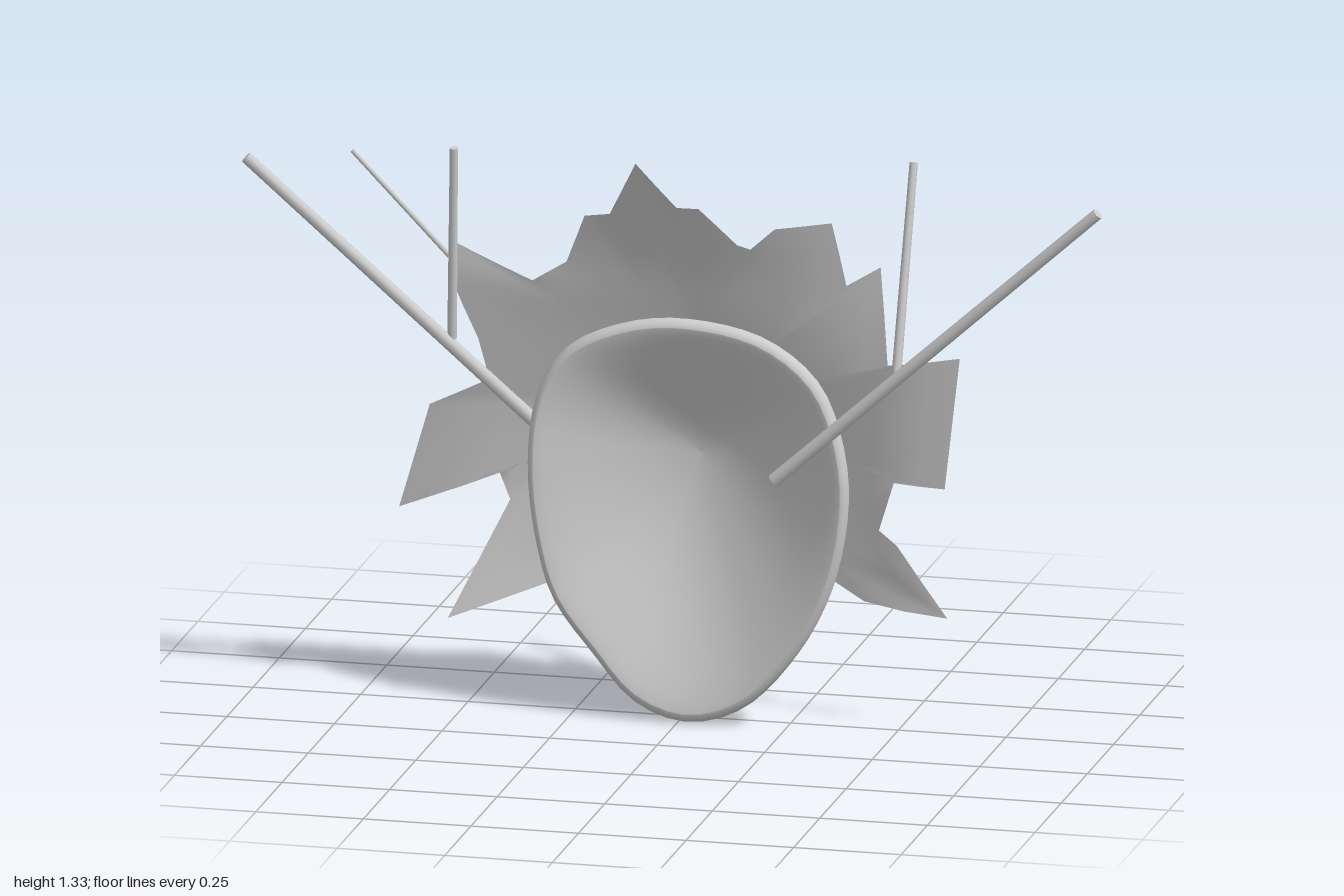
import * as THREE from 'three';

const makeMaterial = (flatShading = false) =>
  new THREE.MeshStandardMaterial({ color: 0xcccccc, side: THREE.DoubleSide, flatShading });

// piecewise linear lookup in [key, value] pairs
function lookup(pairs, k) {
  if (k <= pairs[0][0]) return pairs[0][1];
  for (let i = 1; i < pairs.length; i++) {
    const [k0, v0] = pairs[i - 1], [k1, v1] = pairs[i];
    if (k <= k1) return v0 + (v1 - v0) * (k - k0) / (k1 - k0);
  }
  return pairs[pairs.length - 1][1];
}

// surface through closed rings of equal length
function ringSurface(rings) {
  const n = rings[0].length, position = [], index = [];
  rings.forEach(r => r.forEach(p => position.push(...p)));
  for (let r = 0; r < rings.length - 1; r++) {
    for (let i = 0; i < n; i++) {
      const j = (i + 1) % n, a = r * n, b = a + n;
      index.push(a + i, b + j, b + i, a + i, a + j, b + j);
    }
  }
  const g = new THREE.BufferGeometry();
  g.setAttribute('position', new THREE.Float32BufferAttribute(position, 3));
  g.setIndex(index);
  g.computeVertexNormals();
  return g;
}

// hollow bowl: outer skin, rounded rim leaning back at the top, inner skin
function faceBowl() {
  const rim = [
    [0.02, 0.94], [0.2, 0.905], [0.325, 0.81], [0.385, 0.66], [0.395, 0.52], [0.36, 0.34],
    [0.28, 0.18], [0.15, 0.04], [0.02, 0], [-0.1, 0.04], [-0.2, 0.15], [-0.29, 0.27],
    [-0.33, 0.4], [-0.35, 0.58], [-0.33, 0.75], [-0.26, 0.86], [-0.12, 0.925],
  ];
  const curve = new THREE.CatmullRomCurve3(rim.map(([x, y]) => new THREE.Vector3(x, y, 0)), true);
  const loop = curve.getSpacedPoints(64).slice(0, 64);
  const steps = 16;
  const ring = (t, cy, z) => loop.map(p => {
    const lean = 0.06 * Math.max(0, p.y - 0.6) * t * t;
    return [0.02 + (p.x - 0.02) * t, cy + (p.y - cy) * t, z - lean];
  });
  const rings = [];
  for (let i = 0; i <= steps; i++) {
    const t = Math.sin(i / steps * Math.PI / 2);
    rings.push(ring(t, 0.53, 0.045 - 0.148 * Math.pow(1 - t * t, 0.95)));
  }
  rings.push(ring(0.994, 0.53, 0.057), ring(0.98, 0.53, 0.065));
  // the inner skin is deepest above the middle
  for (let i = steps; i >= 0; i--) {
    const t = Math.sin(i / steps * Math.PI / 2);
    rings.push(ring(t * 0.96, 0.53 + 0.07 * (1 - t), 0.068 - 0.152 * Math.pow(1 - Math.pow(t, 1.8), 1.3)));
  }
  return ringSurface(rings);
}

// depth of the ragged hood: a central ridge blended into two side wings
const ridge = [[0.44, -0.122], [0.6, -0.118], [0.7, -0.1], [0.87, -0.057], [1.05, -0.003], [1.2, 0.06], [1.32, 0.115]];
const rightWing = [[0.19, -0.01], [0.43, -0.06], [0.68, -0.045], [1, 0.02]];
const leftWing = [[0.27, -0.015], [0.58, 0.01], [0.89, 0.03], [1, 0.01], [1.2, -0.005]];
function hoodDepth(x, y) {
  const w = Math.min(1, Math.pow(Math.abs(x) / 0.51, 1.4));
  return lookup(ridge, y) * (1 - w) + lookup(x > 0 ? leftWing : rightWing, y) * w;
}

// ragged hood with spiky outline
function hood() {
  const outline = [
    [0, 0.44], [0.2, 0.39], [0.41, 0.285], [0.61, 0.265], [0.495, 0.43], [0.45, 0.46], [0.49, 0.58],
    [0.61, 0.575], [0.65, 0.89], [0.545, 0.87], [0.48, 0.86], [0.46, 1.085], [0.38, 1.035],
    [0.35, 1.185], [0.22, 1.165], [0.16, 1.11], [0.13, 1.12], [0.05, 1.21], [0, 1.21],
    [-0.085, 1.32], [-0.16, 1.18], [-0.22, 1.17], [-0.27, 1.05], [-0.35, 1], [-0.52, 1.08],
    [-0.54, 1.01], [-0.48, 0.85], [-0.46, 0.75], [-0.6, 0.68], [-0.675, 0.43], [-0.445, 0.53],
    [-0.42, 0.46], [-0.55, 0.19], [-0.31, 0.28], [-0.17, 0.38],
  ];
  const loop = [];
  outline.forEach(([x, y], i) => {
    const [nx, ny] = outline[(i + 1) % outline.length];
    loop.push([x, y], [(x + nx) / 2, (y + ny) / 2]);
  });
  const rings = [];
  for (let r = 0; r <= 10; r++) {
    rings.push(loop.map(([px, py]) => {
      const x = px * r / 10, y = 0.7 + (py - 0.7) * r / 10;
      return [x, y, hoodDepth(x, y)];
    }));
  }
  return ringSurface(rings);
}

// straight rod between two points
function rod(name, from, to, radius) {
  const a = new THREE.Vector3(...from), b = new THREE.Vector3(...to);
  const dir = b.clone().sub(a);
  const mesh = new THREE.Mesh(new THREE.CylinderGeometry(radius * 0.85, radius, dir.length(), 10), makeMaterial());
  mesh.position.copy(a).add(b).multiplyScalar(0.5);
  mesh.quaternion.setFromUnitVectors(new THREE.Vector3(0, 1, 0), dir.normalize());
  mesh.name = name;
  return mesh;
}

// lumpy faceted eye
function eye(name, position, size, tilt, yaw) {
  const g = new THREE.IcosahedronGeometry(1, 1);
  const p = g.attributes.position;
  for (let i = 0; i < p.count; i++) {
    const lump = 1 + 0.1 * Math.sin(4 * p.getX(i) + 3 * p.getY(i));
    p.setXYZ(i, p.getX(i) * lump, p.getY(i) * lump, p.getZ(i));
  }
  g.scale(...size);
  const mesh = new THREE.Mesh(g, makeMaterial(true));
  mesh.position.set(...position);
  mesh.rotation.set(0.1, yaw, tilt);
  mesh.name = name;
  return mesh;
}

export function createModel() {
  const model = new THREE.Group();
  model.name = 'hornedMask';

  const add = (name, geometry) => {
    const mesh = new THREE.Mesh(geometry, makeMaterial());
    mesh.name = name;
    model.add(mesh);
  };
  add('faceBowl', faceBowl());
  add('raggedHood', hood());

  model.add(
    eye('leftEye', [0.23, 0.62, -0.077], [0.14, 0.09, 0.038], 0.4, -0.28),
    eye('rightEye', [-0.225, 0.62, -0.088], [0.12, 0.1, 0.038], -0.15, 0.15),
    // antlers and their twigs
    rod('leftAntler', [0.23, 0.59, 0.08], [0.99, 1.275, 0.108], 0.016),
    rod('rightAntler', [-0.3, 0.63, 0], [-0.99, 1.275, 0.108], 0.016),
    rod('leftTwig', [0.515, 0.86, 0.08], [0.527, 1.325, -0.035], 0.011),
    rod('rightTwig', [-0.53, 0.86, 0.03], [-0.51, 1.325, 0.095], 0.011),
    rod('rightSideTwig', [-0.53, 1.06, 0.055], [-0.745, 1.305, 0.1], 0.006),
  );
  return model;
}
